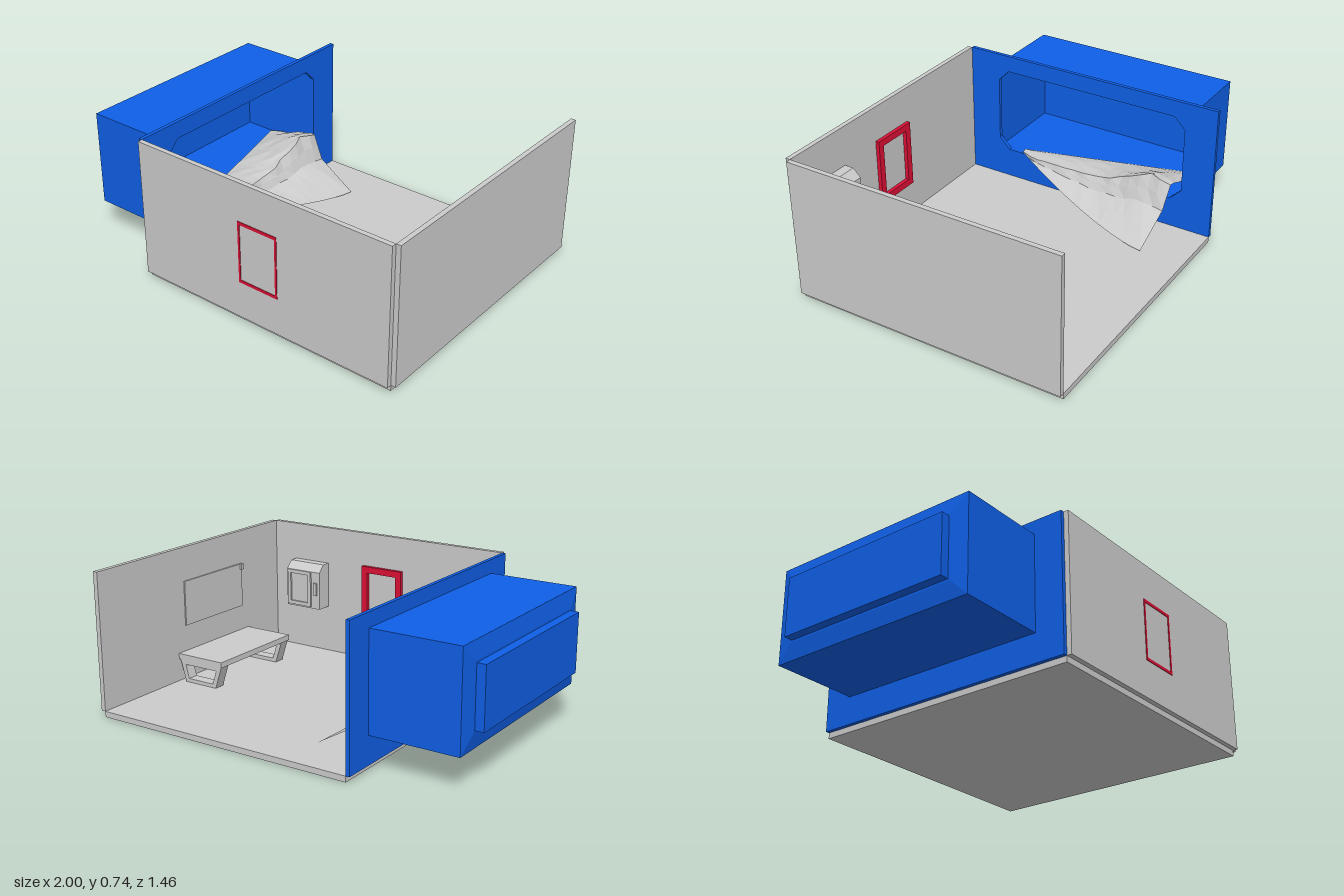
import * as THREE from 'three';

const mat = (color, extra = {}) => new THREE.MeshStandardMaterial({ color, ...extra });
const grey = mat(0xcccccc);
const blue = mat(0x0f5fe6);
const red = mat(0xdc1035);
const cloth = mat(0xcccccc, { flatShading: true, side: THREE.DoubleSide });

function add(parent, name, geometry, material) {
  const mesh = new THREE.Mesh(geometry, material);
  mesh.name = name;
  parent.add(mesh);
  return mesh;
}

// Box given by its limits on each axis
function box(parent, name, [x0, x1], [y0, y1], [z0, z1], material = grey) {
  const g = new THREE.BoxGeometry(x1 - x0, y1 - y0, z1 - z0);
  g.translate((x0 + x1) / 2, (y0 + y1) / 2, (z0 + z1) / 2);
  return add(parent, name, g, material);
}

const path = (pts) => pts.map(([a, b]) => new THREE.Vector2(a, b));
const rect = (a0, a1, b0, b1, c = 0) => c
  ? [[a0 + c, b0], [a1 - c, b0], [a1, b0 + c], [a1, b1 - c], [a1 - c, b1], [a0 + c, b1], [a0, b1 - c], [a0, b0 + c]]
  : [[a0, b0], [a1, b0], [a1, b1], [a0, b1]];

// Outline with an optional hole, extruded along z
function plate(outer, hole, depth) {
  const shape = new THREE.Shape(path(outer));
  if (hole) shape.holes.push(new THREE.Path(path(hole)));
  return new THREE.ExtrudeGeometry(shape, { depth, bevelEnabled: false });
}

// Same, drawn in (z, y) and extruded from x0 to x1
const sidePlate = (outer, hole, x0, x1) =>
  plate(outer, hole, x1 - x0).rotateY(-Math.PI / 2).translate(x1, 0, 0);

function buildRoom(root) {
  const room = new THREE.Group();
  room.name = 'room';
  root.add(room);
  box(room, 'floor', [-0.46, 0.975], [0, 0.03], [-0.73, 0.7]);
  box(room, 'frontWall', [-0.46, 0.975], [0.03, 0.742], [0.7, 0.725]);
  box(room, 'leftWall', [0.975, 1], [0.03, 0.742], [-0.73, 0.7]);
}

function buildAlcove(root) {
  const alcove = new THREE.Group();
  alcove.name = 'sleepingAlcove';
  root.add(alcove);
  // Wall with a chamfered opening
  add(alcove, 'alcoveWall', sidePlate(rect(-0.73, 0.7, 0.03, 0.742),
    rect(-0.56, 0.53, 0.19, 0.655, 0.06), -0.48, -0.46), blue);
  // Hollow body behind the opening
  add(alcove, 'alcoveShell', sidePlate(rect(-0.58, 0.55, 0.175, 0.67),
    rect(-0.565, 0.535, 0.19, 0.655), -0.94, -0.48), blue);
  // Slightly sloped end face
  const end = box(alcove, 'alcoveEnd', [-0.955, -0.93], [0.175, 0.67], [-0.58, 0.55], blue);
  const p = end.geometry.attributes.position;
  for (let i = 0; i < p.count; i++) {
    if (p.getX(i) < -0.95) {
      p.setY(i, p.getY(i) > 0.4 ? 0.585 : 0.26);
      p.setZ(i, p.getZ(i) > 0 ? 0.465 : -0.495);
    } else p.setX(i, -0.94);
  }
  end.geometry.computeVertexNormals();
  // The sloped face starts at x = -0.94, so this closes the inside
  box(alcove, 'alcoveBackPanel', [-0.94, -0.93], [0.18, 0.665], [-0.575, 0.545], blue);
  box(alcove, 'outerPanel', [-1, -0.95], [0.27, 0.575], [-0.485, 0.455], blue);
}

// Crumpled sheet: lies in the alcove, humps at the sill, hangs to the floor
function buildBlanket(root) {
  const rows = 16, cols = 10;
  const g = new THREE.PlaneGeometry(1, 1, cols, rows);
  const p = g.attributes.position;
  const lerp = THREE.MathUtils.lerp;
  for (let r = 0; r <= rows; r++) {
    const t = r / rows;
    const zIn = lerp(-0.55, 0.38, t), zOut = lerp(-0.5, 0.38, t);
    const xOut = -0.15 - 0.305 * t ** 1.3;
    const yOut = 0.04 + 0.16 * t ** 1.5;
    const hump = 0.11 * Math.exp(-(((zIn + 0.45) / 0.2) ** 2));
    const wave = 0.012 * Math.sin(r * 2.3) * (1 - t);
    const ridge = Math.min(-0.42 + wave, xOut);
    const profile = [
      [lerp(-0.76, -0.5, t), 0.197],
      [lerp(-0.62, -0.49, t), 0.205 + hump * 0.3 + Math.abs(wave)],
      [-0.48, 0.21 + hump * 0.8],
      [ridge, 0.205 + hump],
      [lerp(ridge, xOut, 0.22) - wave, lerp(0.2 + hump, yOut, 0.5)],
      [xOut, yOut],
    ];
    for (let c = 0; c <= cols; c++) {
      const s = (c / cols) * (profile.length - 1);
      const k = Math.min(Math.floor(s), profile.length - 2), f = s - k;
      const fold = c > 0 && c < cols ? 0.008 * Math.sin(r * 1.9 + c * 2.7) * (1 - t) : 0;
      p.setXYZ(r * (cols + 1) + c,
        lerp(profile[k][0], profile[k + 1][0], f),
        lerp(profile[k][1], profile[k + 1][1], f) + Math.max(fold, 0),
        lerp(zIn, zOut, c / cols));
    }
  }
  g.computeVertexNormals();
  add(root, 'blanket', g, cloth);
}

function buildBench(root) {
  const bench = new THREE.Group();
  bench.name = 'bench';
  root.add(bench);
  box(bench, 'benchTop', [0.69, 0.975], [0.15, 0.18], [-0.17, 0.42]);
  // Tapered frame leg at each end
  const outer = [[0.735, 0.03], [0.935, 0.03], [0.97, 0.15], [0.695, 0.15]];
  const hole = [[0.755, 0.05], [0.915, 0.05], [0.935, 0.125], [0.73, 0.125]];
  for (const z of [-0.165, 0.355]) {
    add(bench, 'benchLeg', plate(outer, hole, 0.06).translate(0, 0, z), grey);
  }
}

function buildCabinet(root) {
  const cabinet = new THREE.Group();
  cabinet.name = 'wallCabinet';
  root.add(cabinet);
  // Body with a sloped top edge, drawn in (z, y)
  add(cabinet, 'cabinetBody', sidePlate(
    [[0.61, 0.29], [0.7, 0.29], [0.7, 0.54], [0.65, 0.54], [0.61, 0.5]], null, 0.615, 0.835), grey);
  // Raised door frame around a recessed face
  add(cabinet, 'cabinetDoor', plate(rect(0.67, 0.825, 0.3, 0.5),
    rect(0.69, 0.805, 0.32, 0.48), 0.012).translate(0, 0, 0.6), grey);
  box(cabinet, 'cabinetHandle', [0.63, 0.65], [0.37, 0.44], [0.597, 0.612]);
  const knob = add(cabinet, 'cabinetKnob', new THREE.SphereGeometry(0.009, 10, 8), mat(0x9a4a2a));
  knob.position.set(0.837, 0.42, 0.635);
}

function buildWindow(root) {
  const win = new THREE.Group();
  win.name = 'window';
  root.add(win);
  add(win, 'innerWindowFrame', plate(rect(0.13, 0.38, 0.21, 0.56),
    rect(0.165, 0.345, 0.245, 0.525), 0.022).translate(0, 0, 0.68), red);
  add(win, 'outerWindowFrame', plate(rect(0.143, 0.367, 0.223, 0.545),
    rect(0.154, 0.356, 0.238, 0.529), 0.006).translate(0, 0, 0.722), red);
}

function buildWallScreen(root) {
  // Thin panel leaning slightly off the wall, with a small bracket
  const screen = box(root, 'wallScreen', [0.963, 0.975], [0.32, 0.56], [-0.11, 0.36]);
  const p = screen.geometry.attributes.position;
  for (let i = 0; i < p.count; i++) {
    if (p.getX(i) < 0.97 && p.getZ(i) < 0) p.setX(i, 0.968);
  }
  screen.geometry.computeVertexNormals();
  box(root, 'screenBracket', [0.952, 0.975], [0.53, 0.56], [0.345, 0.365]);
}

export function createModel() {
  const root = new THREE.Group();
  root.name = 'cabinRoom';
  buildRoom(root);
  buildAlcove(root);
  buildBlanket(root);
  buildBench(root);
  buildCabinet(root);
  buildWindow(root);
  buildWallScreen(root);
  return root;
}
